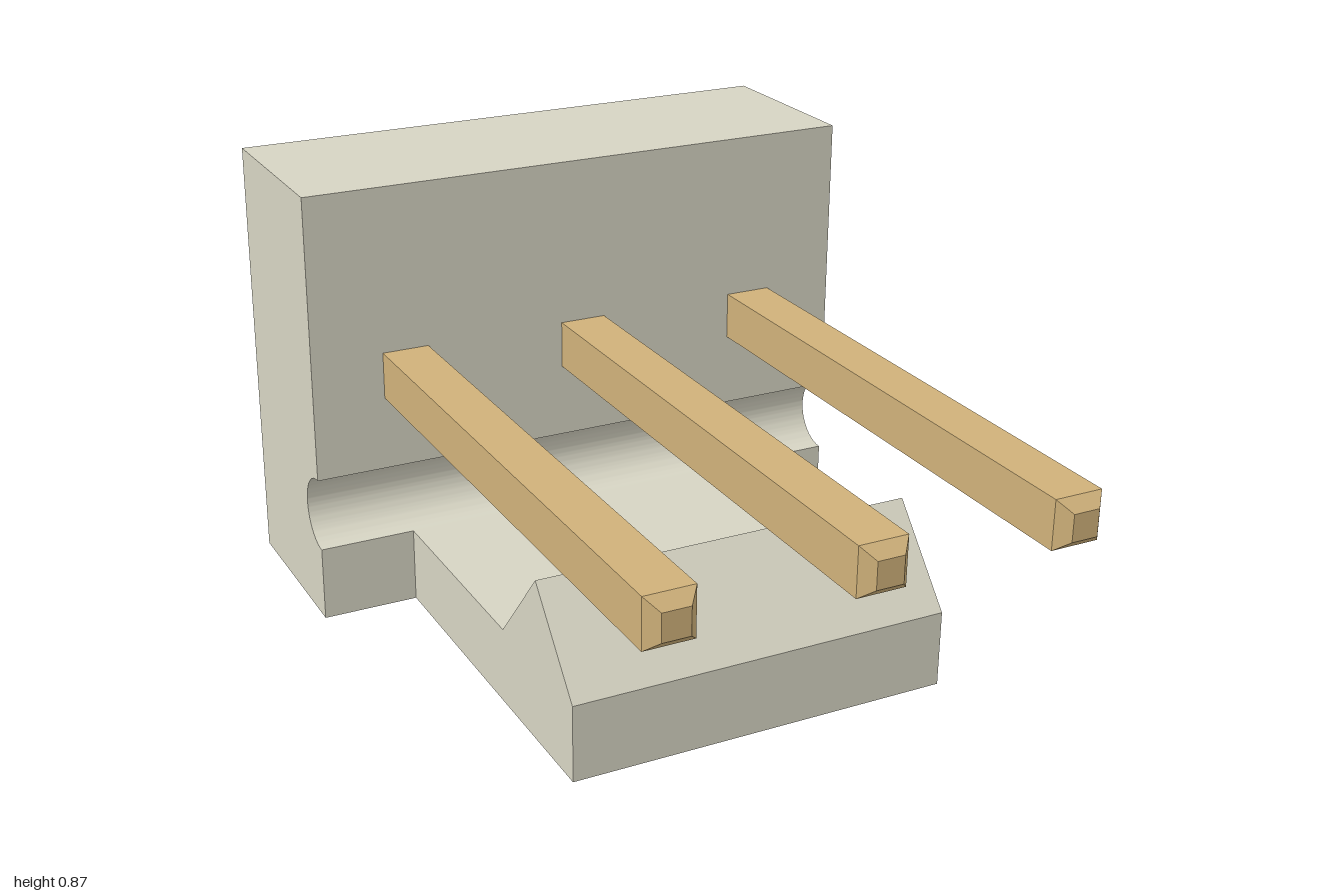
import * as THREE from 'three';
import { toCreasedNormals } from 'three/addons/utils/BufferGeometryUtils.js';

// Extrude a side profile drawn as (z, y) across the width, centred on x = 0
function extrudeAcross(shape, width) {
  const geometry = new THREE.ExtrudeGeometry(shape, { depth: width, bevelEnabled: false, curveSegments: 32 });
  geometry.translate(0, 0, -width / 2);
  geometry.rotateY(-Math.PI / 2);
  return toCreasedNormals(geometry, 0.6);
}

export function createModel() {
  const group = new THREE.Group();
  const plastic = new THREE.MeshStandardMaterial({ color: 0xd6d4c3 });
  plastic.name = 'ivory plastic';
  const brass = new THREE.MeshStandardMaterial({ color: 0xcfb17a });
  brass.name = 'brass';

  const add = (name, geometry, material) => {
    const mesh = new THREE.Mesh(geometry, material);
    mesh.name = name;
    group.add(mesh);
    return mesh;
  };

  // Upright wall with a half-round groove along its front
  const wall = new THREE.Shape();
  wall.moveTo(-0.48, 0);
  wall.lineTo(-0.113, 0);
  wall.lineTo(-0.113, 0.15);
  wall.absarc(-0.113, 0.224, 0.074, -Math.PI / 2, Math.PI / 2, true);
  wall.lineTo(-0.113, 0.866);
  wall.lineTo(-0.48, 0.866);
  wall.closePath();
  add('wall', extrudeAcross(wall, 1.132), plastic);

  // Flat tongue ending in a pointed ridge
  const latch = new THREE.Shape([
    [-0.113, 0], [0.63, 0], [0.63, 0.15], [0.482, 0.32], [0.334, 0.15], [-0.113, 0.15],
  ].map(([z, y]) => new THREE.Vector2(z, y)));
  add('latch', extrudeAcross(latch, 0.75), plastic);

  // Square pins with chamfered tips
  const core = 0.0255, chamfer = 0.021, tip = 0.024;
  const square = new THREE.Shape([[-1, -1], [1, -1], [1, 1], [-1, 1]]
    .map(([x, y]) => new THREE.Vector2(x * core, y * core)));
  const pin = new THREE.ExtrudeGeometry(square, {
    depth: 2 - 2 * tip, bevelEnabled: true, bevelSegments: 1, bevelSize: chamfer, bevelThickness: tip,
  });
  pin.translate(0, 0, tip - 1);
  ['right', 'middle', 'left'].forEach((side, i) => {
    add(side + 'Pin', pin, brass).position.set((i - 1) * 0.376, 0.491, 0);
  });

  return group;
}
